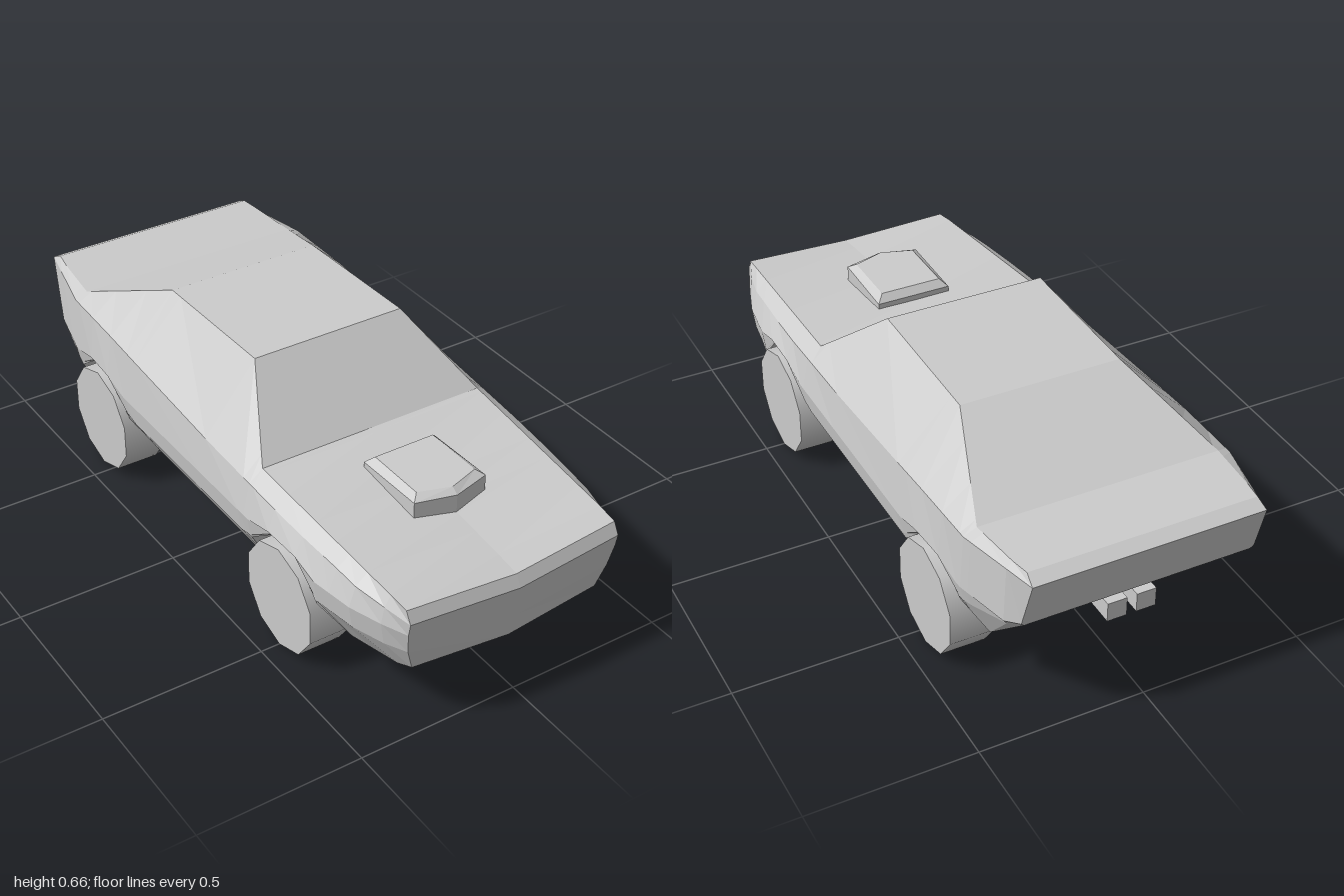
import * as THREE from 'three';

const grey = new THREE.MeshStandardMaterial({ color: 0xcccccc, flatShading: true });
const smoothGrey = new THREE.MeshStandardMaterial({ color: 0xcccccc });

// Piecewise linear curve through [key, value] pairs
function curve(...pairs) {
  const p = pairs.sort((a, b) => a[0] - b[0]);
  return (t) => {
    if (t <= p[0][0]) return p[0][1];
    for (let i = 1; i < p.length; i++) {
      const [t0, v0] = p[i - 1], [t1, v1] = p[i];
      if (t <= t1) return v0 + (v1 - v0) * (t - t0) / (t1 - t0);
    }
    return p[p.length - 1][1];
  };
}

// Body lines along z (heights, then half widths)
const topY = curve([1, 0.405], [0.31, 0.465], [0.08, 0.66], [-0.39, 0.65], [-0.73, 0.515], [-1, 0.525]);
const topX = curve([1, 0.345], [0.31, 0.37], [0.08, 0.25], [-0.39, 0.25], [-0.73, 0.37], [-1, 0.345]);
const shoulderY = curve([1, 0.37], [0.72, 0.4], [0.52, 0.415], [0, 0.455], [-0.5, 0.49], [-1, 0.505]);
const shoulderX = curve([1, 0.345], [0.8, 0.39], [0.5, 0.41], [0, 0.42], [-0.5, 0.415], [-0.73, 0.41], [-1, 0.35]);
const wideX = curve([1, 0.345], [0.8, 0.41], [0.66, 0.43], [0.4, 0.435], [-0.5, 0.435], [-0.73, 0.42], [-1, 0.355]);
const creaseY = curve([1, 0.26], [0.66, 0.26], [0.57, 0.345], [0.44, 0.345], [0.33, 0.27], [0.28, 0.26],
  [-0.34, 0.26], [-0.39, 0.27], [-0.49, 0.345], [-0.61, 0.345], [-0.71, 0.28], [-0.76, 0.285], [-1, 0.34]);
// Lower edge of the side, rising over both wheel arches
const lowY = curve([1, 0.185], [0.72, 0.145], [0.66, 0.25], [0.57, 0.34], [0.44, 0.34], [0.33, 0.26], [0.28, 0.12],
  [-0.34, 0.12], [-0.39, 0.25], [-0.49, 0.34], [-0.61, 0.34], [-0.71, 0.27], [-0.76, 0.165]);
const lowX = curve([1, 0.31], [0.72, 0.345], [0.66, 0.42], [0.33, 0.42], [0.28, 0.34],
  [-0.34, 0.34], [-0.39, 0.42], [-0.71, 0.41], [-0.76, 0.345]);
const floorY = curve([1, 0.185], [0.72, 0.145], [0.28, 0.12], [-0.34, 0.12], [-0.76, 0.165]);
const hoodDip = curve([1, 0.02], [0.31, 0]);
// Slanted nose and tail profiles over height
const noseZ = curve([0.185, 0.95], [0.37, 0.985], [0.405, 0.965]);
const tailZ = curve([0.165, -0.76], [0.34, -0.95], [0.505, -1], [0.525, -0.96]);

// Half cross-section from top centre, round the left side, to floor centre
function section(z) {
  const dip = hoodDip(z), floorDip = z === 1 ? 0.015 : 0;
  const at = (x, y) => [x, y, Math.max(Math.min(z, noseZ(y)), tailZ(y))];
  const centre = ([, y, pz], d) => [0, y - d, pz + (z === 1 ? 0.015 : 0)];
  const edge = at(topX(z), topY(z));
  const floor = at(0.3, floorY(z));
  return [
    centre(edge, dip),
    edge,
    at(shoulderX(z), shoulderY(z)),
    at(wideX(z), Math.max(0.33, creaseY(z) + 0.01)),
    at(wideX(z) - 0.01, creaseY(z)),
    at(lowX(z), lowY(z)),
    at(0.3, lowY(z)),
    floor,
    centre(floor, floorDip),
  ];
}

const mirror = ([x, y, z]) => [-x, y, z];

function fromQuads(quads) {
  const pos = [];
  for (const [a, b, c, d] of quads) pos.push(...a, ...b, ...c, ...a, ...c, ...d);
  const g = new THREE.BufferGeometry();
  g.setAttribute('position', new THREE.Float32BufferAttribute(pos, 3));
  g.computeVertexNormals();
  return g;
}

function bodyGeometry() {
  const stations = [1, 0.9, 0.8, 0.72, 0.66, 0.57, 0.44, 0.33, 0.31, 0.28, 0.08,
    -0.34, -0.39, -0.49, -0.61, -0.71, -0.73, -0.76, -0.9, -1];
  const sections = stations.map(section);
  const quads = [];
  const addPair = (a, b, c, d) => {
    quads.push([a, b, c, d], [d, c, b, a].map(mirror));
  };
  // Skin
  for (let i = 0; i + 1 < sections.length; i++) {
    const s = sections[i], n = sections[i + 1];
    for (let j = 0; j + 1 < s.length; j++) addPair(s[j], s[j + 1], n[j + 1], n[j]);
  }
  // Nose with a shallow point at its centre, and flat tail
  const cap = (s, dip, front) => {
    const mid = ([, y, z]) => [0, y - dip, z + dip * 0.75];
    for (let j = 1; j < 5; j++) {
      const q = [mid(s[j]), mid(s[j + 1]), s[j + 1], s[j]];
      addPair(...(front ? q : q.reverse()));
    }
  };
  cap(sections[0], 0.02, true);
  cap(sections[sections.length - 1], 0, false);
  return fromQuads(quads);
}

// Five-sided scoop with a bevelled top
function scoopGeometry() {
  const ring = (y, inset) => [
    [-0.12 + inset, y, 0.44 + inset], [-0.12 + inset, y, 0.68 - inset],
    [0, y, 0.712 - inset], [0.12 - inset, y, 0.68 - inset], [0.12 - inset, y, 0.44 + inset],
  ];
  const rings = [ring(0.41, 0), ring(0.475, 0), ring(0.49, 0.022)];
  // The rear edge sits lower
  for (const k of [0, 4]) rings[1][k][1] = 0.468;
  const quads = [];
  for (let i = 0; i < 2; i++) {
    for (let k = 0; k < 5; k++) {
      const m = (k + 1) % 5;
      quads.push([rings[i][k], rings[i][m], rings[i + 1][m], rings[i + 1][k]]);
    }
  }
  const t = rings[2];
  quads.push([t[0], t[1], t[2], t[3]], [t[0], t[3], t[4], t[4]]);
  return fromQuads(quads);
}

export function createModel() {
  const car = new THREE.Group();
  car.name = 'car';
  const add = (name, geometry, material, x = 0, y = 0, z = 0) => {
    const mesh = new THREE.Mesh(geometry, material);
    mesh.name = name;
    mesh.position.set(x, y, z);
    car.add(mesh);
    return mesh;
  };

  add('body', bodyGeometry(), grey);
  add('hoodScoop', scoopGeometry(), grey);

  // Ten-sided wheels resting on a flat
  const wheel = new THREE.CylinderGeometry(0.168, 0.168, 0.135, 10);
  wheel.rotateY(Math.PI / 10).rotateZ(Math.PI / 2);
  wheel.computeBoundingBox();
  const wheelY = -wheel.boundingBox.min.y;
  for (const [side, s] of [['left', 1], ['right', -1]]) {
    add(side + 'FrontWheel', wheel, smoothGrey, s * 0.3725, wheelY, 0.5);
    add(side + 'RearWheel', wheel, smoothGrey, s * 0.3725, wheelY, -0.548);
    // Exhaust pipe through the lower tail
    add(side + 'Exhaust', new THREE.BoxGeometry(0.06, 0.06, 0.14), grey, s * 0.045, 0.25, -0.847);
  }
  return car;
}
